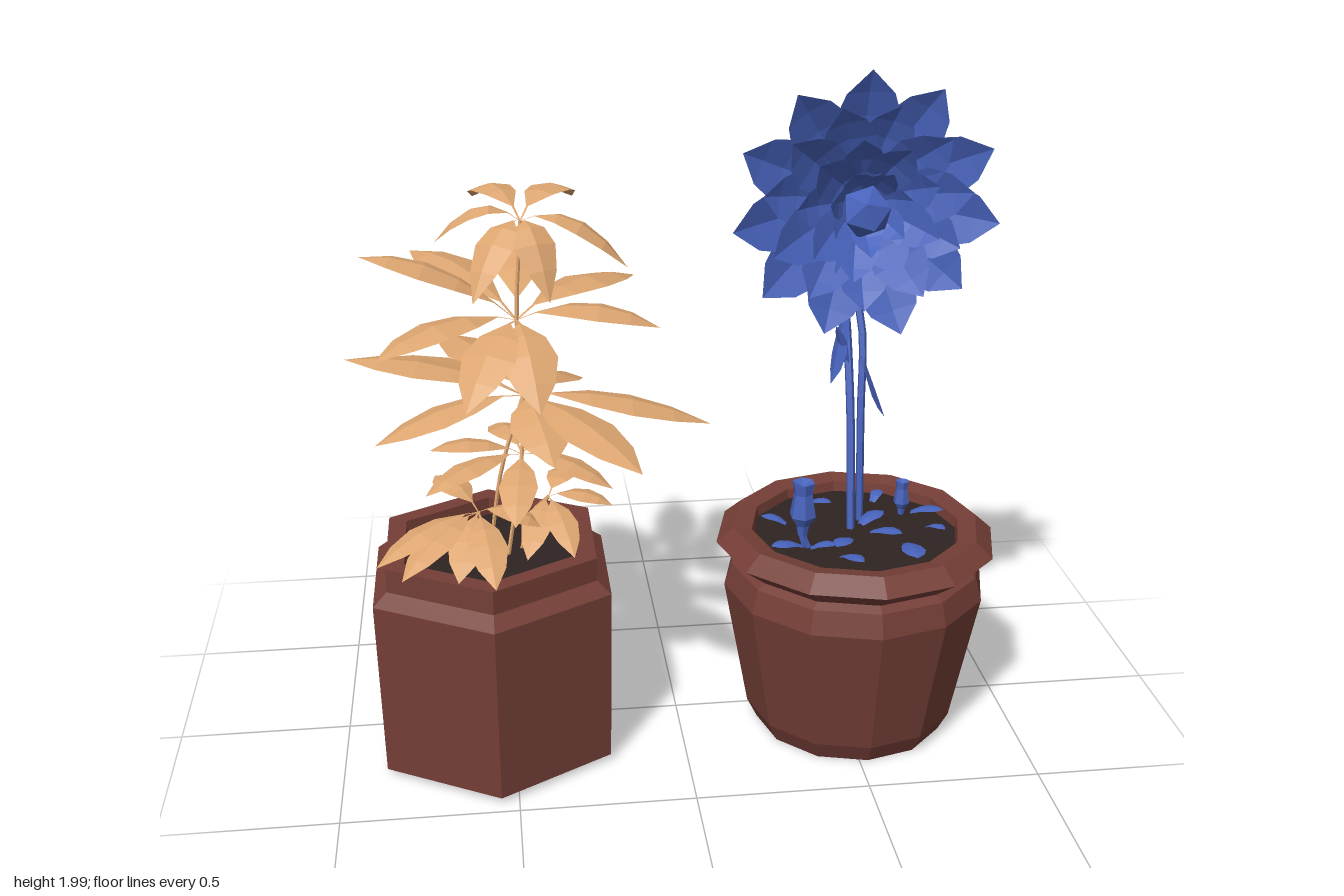
import * as THREE from 'three';
import { mergeGeometries } from 'three/addons/utils/BufferGeometryUtils.js';

const material = (name, color) => {
  const m = new THREE.MeshStandardMaterial({ color, flatShading: true, side: THREE.DoubleSide });
  m.name = name;
  return m;
};
const V = (a) => new THREE.Vector3(...a);
const UP = V([0, 1, 0]);

// Folded blade running from base to tip: rows of [position along, relative width]
const LEAF = [[0, 0.04], [0.14, 0.06], [0.36, 0.75], [0.58, 1], [0.8, 0.7], [1, 0]];
const PETAL = [[0, 0.45], [0.3, 0.8], [0.58, 1], [0.8, 0.72], [1, 0]];
function blade(base, tip, halfWidth, arch, rows = LEAF, up = UP, fold = 0.22) {
  const dir = tip.clone().sub(base).normalize();
  const side = new THREE.Vector3().crossVectors(dir, up).normalize();
  const out = new THREE.Vector3().crossVectors(side, dir).normalize();
  const pos = [], index = [];
  rows.forEach(([s, w], i) => {
    const mid = base.clone().lerp(tip, s).addScaledVector(up, arch * 4 * s * (1 - s));
    for (const k of [-1, 0, 1]) {
      const p = mid.clone().addScaledVector(side, k * w * halfWidth);
      p.addScaledVector(out, -Math.abs(k) * w * halfWidth * fold);
      pos.push(p.x, p.y, p.z);
    }
    if (i) for (const k of [0, 1]) {
      const a = (i - 1) * 3 + k, b = a + 3;
      index.push(a, a + 1, b + 1, a, b + 1, b);
    }
  });
  const g = new THREE.BufferGeometry();
  g.setAttribute('position', new THREE.Float32BufferAttribute(pos, 3));
  g.setIndex(index);
  g.computeVertexNormals();
  return g;
}

function tube(points, radius, segments = 10) {
  const g = new THREE.TubeGeometry(new THREE.CatmullRomCurve3(points.map(V)), segments, radius, 5);
  g.deleteAttribute('uv');
  return g;
}

const lathe = (points, sides) =>
  new THREE.LatheGeometry(points.map(([r, y]) => new THREE.Vector2(r, y)), sides);

export function createModel() {
  const clay = material('clay', 0x743e36);
  const soil = material('soil', 0x2e2422);
  const tan = material('tan foliage', 0xdca570);
  const blue = material('blue flower', 0x4762bb);
  const model = new THREE.Group();
  const add = (parent, name, geometry, mat, x = 0, y = 0, z = 0) => {
    const mesh = new THREE.Mesh(geometry, mat);
    mesh.name = name;
    mesh.position.set(x, y, z);
    parent.add(mesh);
    return mesh;
  };
  const group = (name) => {
    const g = new THREE.Group();
    g.name = name;
    model.add(g);
    return g;
  };

  // Pots and their soil
  const hexPot = group('hexagonalPot');
  add(hexPot, 'hexPotBody', lathe([[0, 0.02], [0.375, 0.02], [0.385, 0.55], [0.34, 0.585],
    [0.34, 0.655], [0.28, 0.655], [0.28, 0.58]], 6), clay, -0.55, 0, 0.09);
  add(hexPot, 'hexPotSoil', lathe([[0.285, 0.6], [0, 0.605]], 6), soil, -0.55, 0, 0.09);
  const roundPot = group('roundPot');
  add(roundPot, 'roundPotBody', lathe([[0, 0], [0.285, 0], [0.315, 0.06], [0.39, 0.46], [0.37, 0.53],
    [0.345, 0.545], [0.415, 0.6], [0.365, 0.645], [0.31, 0.635], [0.3, 0.57]], 12), clay, 0.525, 0, 0.085);
  add(roundPot, 'roundPotSoil', lathe([[0.308, 0.605], [0, 0.615]], 12), soil, 0.525, 0, 0.085);

  // Leafy plant: whorls of leaves, each listed as its centre and the leaf tips
  const plant = group('leafyPlant');
  const whorls = [
    { centre: [-0.43, 1.56, -0.03], width: 0.062, arch: 0.07, tips: [
      [-0.57, 1.38, 0.15], [-0.36, 1.37, 0.13], [-0.14, 1.44, 0.05],
      [-0.27, 1.56, -0.29], [-0.56, 1.57, -0.28], [-0.67, 1.5, -0.05]] },
    { centre: [-0.45, 1.28, -0.01], width: 0.082, arch: 0.055, tips: [
      [-0.88, 1.46, -0.07], [-0.84, 1.25, 0.22], [-0.6, 1.11, 0.27], [-0.4, 1.1, 0.27],
      [-0.05, 1.26, 0.05], [-0.08, 1.28, -0.4], [-0.42, 1.42, -0.5], [-0.75, 1.4, -0.33]] },
    { centre: [-0.44, 1.06, 0.01], width: 0.085, arch: 0.04, tips: [
      [-0.94, 1.16, -0.07], [-0.87, 1.1, -0.24], [-0.67, 1.08, -0.5], [-0.27, 0.96, -0.4],
      [0.1, 0.95, 0.02], [-0.14, 0.98, 0.43], [-0.37, 0.96, 0.3], [-0.86, 0.96, 0.1]] },
    { centre: [-0.45, 0.9, 0.06], width: 0.055, arch: 0.035, tips: [
      [-0.72, 0.88, 0.28], [-0.2, 0.83, 0.18], [-0.27, 0.92, -0.14], [-0.48, 0.8, 0.34],
      [-0.71, 0.93, 0.08], [-0.52, 0.9, -0.18]] },
    { centre: [-0.58, 0.78, 0.18], width: 0.055, arch: 0.035, tips: [
      [-0.86, 0.71, 0.36], [-0.79, 0.7, 0.43], [-0.54, 0.68, 0.47], [-0.7, 0.84, 0.05],
      [-0.4, 0.74, 0.22], [-0.64, 0.67, 0.4]] },
    { centre: [-0.38, 0.78, 0.1], width: 0.045, arch: 0.03, tips: [
      [-0.2, 0.77, 0.16], [-0.32, 0.69, 0.32], [-0.45, 0.68, 0.3], [-0.3, 0.8, -0.06]] },
  ];
  whorls.forEach(({ centre, width, arch, tips }, i) => {
    const leaves = tips.map((t) => blade(V(centre), V(t), width, arch));
    add(plant, `leafWhorl${i + 1}`, mergeGeometries(leaves), tan);
  });
  const stalks = [
    [[-0.5, 0.6, 0.1], [-0.45, 0.9, 0.06], [-0.44, 1.06, 0.01], [-0.45, 1.28, -0.01], [-0.43, 1.56, -0.03]],
    [[-0.58, 0.6, 0.14], [-0.6, 0.7, 0.16], [-0.58, 0.78, 0.18]],
    [[-0.46, 0.6, 0.06], [-0.43, 0.72, 0.08], [-0.38, 0.78, 0.1]],
    [[-0.55, 0.6, 0.05], [-0.51, 0.85, 0.05], [-0.44, 1.06, 0.01]],
  ];
  add(plant, 'plantStalks', mergeGeometries(stalks.map((p) => tube(p, 0.006))), tan);

  // Flower head: rings of cupped petals around the +z axis
  const flower = group('blueFlower');
  const head = new THREE.Group();
  head.name = 'flowerHead';
  head.position.set(0.505, 1.615, 0.07);
  flower.add(head);
  const rings = [
    // name, count, base radius, base z, tip radius, tip z, half width, turn
    ['outerPetals', 11, 0.06, 0.0, 0.375, 0.085, 0.092, 0],
    ['middlePetals', 11, 0.05, 0.01, 0.29, 0.11, 0.08, 0.5],
    ['innerPetals', 9, 0.04, 0.03, 0.2, 0.135, 0.065, 0.2],
    ['heartPetals', 7, 0.03, 0.04, 0.12, 0.14, 0.045, 0.5],
    ['sepals', 8, 0.03, -0.06, 0.22, -0.01, 0.065, 0.3],
  ];
  const Z = V([0, 0, 1]);
  for (const [name, n, r0, z0, r1, z1, w, turn] of rings) {
    const petals = [];
    for (let i = 0; i < n; i++) {
      const a = Math.PI / 2 + ((i + turn) / n) * Math.PI * 2;
      const c = Math.cos(a), s = Math.sin(a);
      const wave = 0.02 * Math.sin(i * 2.4);
      petals.push(blade(V([c * r0, s * r0, z0]), V([c * r1, s * r1, z1 + wave]), w, -0.02, PETAL, Z, -0.25));
    }
    add(head, name, mergeGeometries(petals), blue);
  }
  const heart = add(head, 'flowerHeart', new THREE.IcosahedronGeometry(0.075, 0), blue, -0.005, -0.01, 0.085);
  heart.rotation.z = 0.3;
  add(head, 'flowerBase', new THREE.SphereGeometry(0.075, 8, 5), blue, 0, 0, -0.03);

  // Twin bending stems with their leaves
  add(flower, 'flowerStems', mergeGeometries([
    tube([[0.515, 0.6, 0.07], [0.515, 0.95, 0.01], [0.51, 1.2, -0.06], [0.5, 1.38, -0.11],
      [0.505, 1.53, -0.1], [0.505, 1.62, 0.03]], 0.013, 18),
    tube([[0.555, 0.6, 0.01], [0.55, 0.95, -0.01], [0.555, 1.2, -0.06], [0.525, 1.36, -0.11],
      [0.51, 1.5, -0.105]], 0.012, 14)]), blue);
  add(flower, 'stemLeaves', mergeGeometries([
    blade(V([0.505, 1.25, -0.07]), V([0.455, 1.05, 0.0]), 0.04, 0, PETAL, V([-1, 0.3, 0.3])),
    blade(V([0.555, 1.12, -0.04]), V([0.625, 0.93, -0.02]), 0.03, 0, PETAL, V([1, 0.5, 0.4])),
    blade(V([0.505, 1.1, -0.03]), V([0.47, 1.22, -0.02]), 0.025, 0, PETAL, V([-1, 0, 0.5]))]), blue);

  // Buds rising from the soil
  const bud = [[0.015, 0], [0.02, 0.03], [0.04, 0.06], [0.028, 0.13], [0.034, 0.165], [0, 0.15]];
  add(flower, 'largeBud', lathe(bud, 6), blue, 0.35, 0.65, 0.165);
  add(flower, 'smallBud', lathe(bud, 6), blue, 0.69, 0.61, -0.02).scale.set(0.62, 0.66, 0.62);
  add(flower, 'largeBudStalk', tube([[0.37, 0.6, 0.165], [0.355, 0.63, 0.165], [0.35, 0.66, 0.165]], 0.012, 3), blue);

  // Small leaves scattered over the soil: x, z, heading, length
  const fallen = [[0.66, 0.19, 1.6, 0.13], [0.42, -0.12, 0.5, 0.08], [0.72, -0.02, 0.3, 0.1], [0.35, 0.17, 2.9, 0.1],
    [0.37, 0.19, 0.2, 0.08], [0.5, 0.14, 2.2, 0.1], [0.55, 0.05, -0.6, 0.1], [0.62, -0.1, -1, 0.07],
    [0.45, 0.25, 1, 0.09], [0.74, 0.09, 0.9, 0.07], [0.33, 0.02, 3.6, 0.08], [0.57, 0.1, 0.6, 0.1]];
  add(flower, 'soilLeaves', mergeGeometries(fallen.map(([x, z, a, l]) =>
    blade(V([x, 0.617, z]), V([x + l * Math.cos(a), 0.63, z + l * Math.sin(a)]), l * 0.27, 0.012, PETAL))), blue);

  return model;
}
